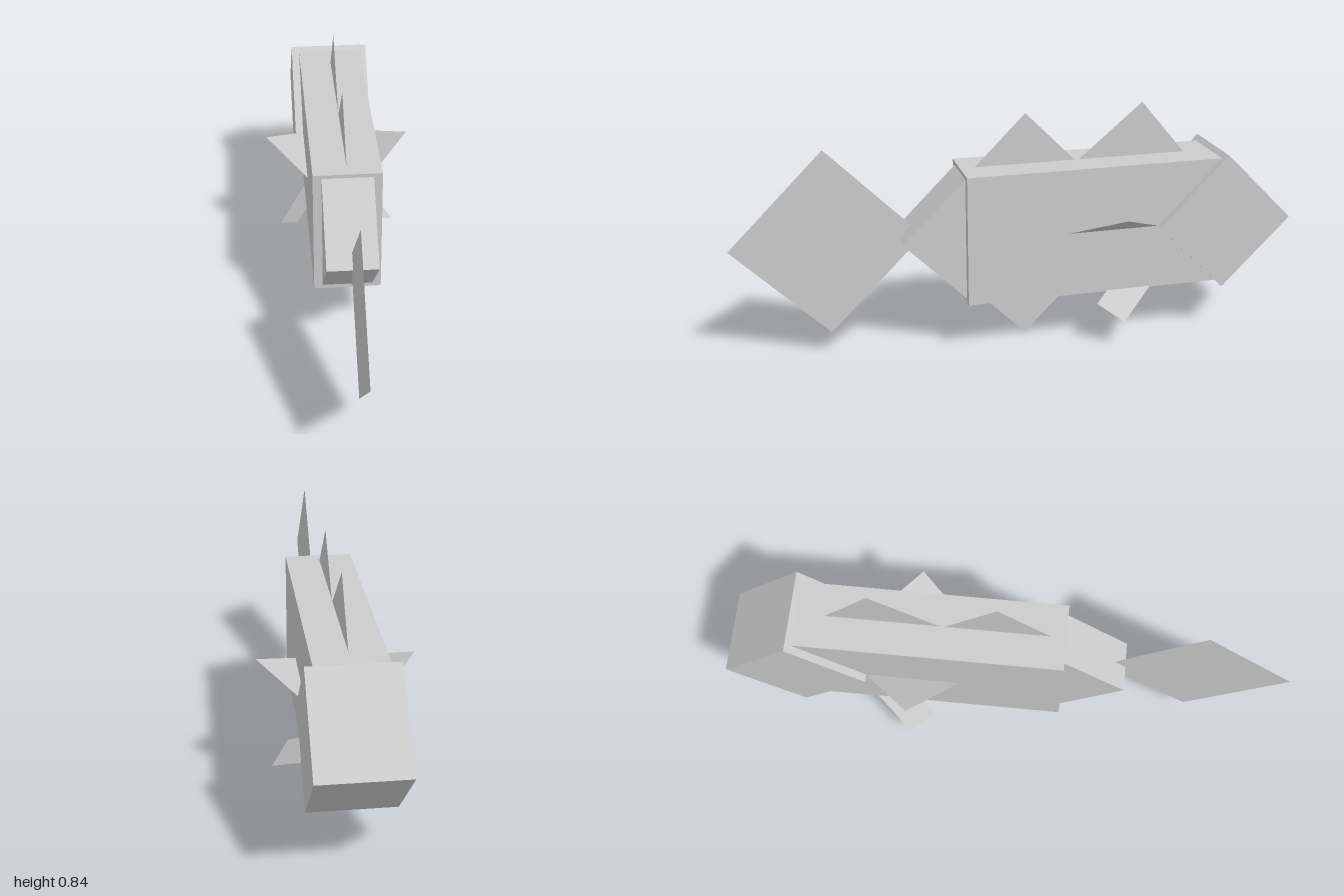
import * as THREE from 'three';

const solid = new THREE.MeshStandardMaterial({ color: 0xcccccc, flatShading: true });
const thin = new THREE.MeshStandardMaterial({ color: 0xcccccc, flatShading: true, side: THREE.DoubleSide });
const rad = THREE.MathUtils.degToRad;

export function createModel() {
  const model = new THREE.Group();
  model.name = 'fish';

  const add = (name, geometry, material, x, y, z) => {
    const mesh = new THREE.Mesh(geometry, material);
    mesh.name = name;
    mesh.position.set(x, y, z);
    model.add(mesh);
    return mesh;
  };

  // box, optionally turned about x to stand on its edge
  const block = (name, w, h, d, y, z, tilt = 0) =>
    add(name, new THREE.BoxGeometry(w, h, d).rotateX(rad(tilt)), solid, 0, y, z);

  // square sheet standing in the middle plane, turned by an angle
  const uprightFin = (name, size, turn, y, z) =>
    add(name, new THREE.PlaneGeometry(size, size).rotateZ(rad(turn)).rotateY(Math.PI / 2), thin, 0, y, z);

  // mirrored pair of sheets centred on the body's sides
  const finPair = (name, length, width, turn, slope, x, y, z) => {
    for (const [label, s] of [['left', 1], ['right', -1]]) {
      const geometry = new THREE.PlaneGeometry(length, width)
        .rotateZ(rad(turn * s)).rotateX(-Math.PI / 2).rotateZ(rad(slope * s));
      add(label + name, geometry, thin, s * x, y, z);
    }
  };

  // body, head and tail base
  block('body', 0.236, 0.468, 0.935, 0.42, -0.273);
  block('head', 0.293, 0.354, 0.354, 0.42, -0.75, 45);
  block('tailBase', 0.176, 0.318, 0.318, 0.42, 0.19, 45);

  // upright fins
  uprightFin('tailFin', 0.474, 45, 0.42, 0.665);
  uprightFin('middleFin', 0.588, 45, 0.42, -0.04);
  uprightFin('dorsalFin', 0.4, 40, 0.567, -0.445);

  // side and belly fins
  finPair('PectoralFin', 0.237, 0.237, 45, 29.5, 0.118, 0.42, -0.335);
  finPair('PelvicFin', 0.26, 0.116, -45, -40, 0.117, 0.19, -0.4);

  return model;
}
